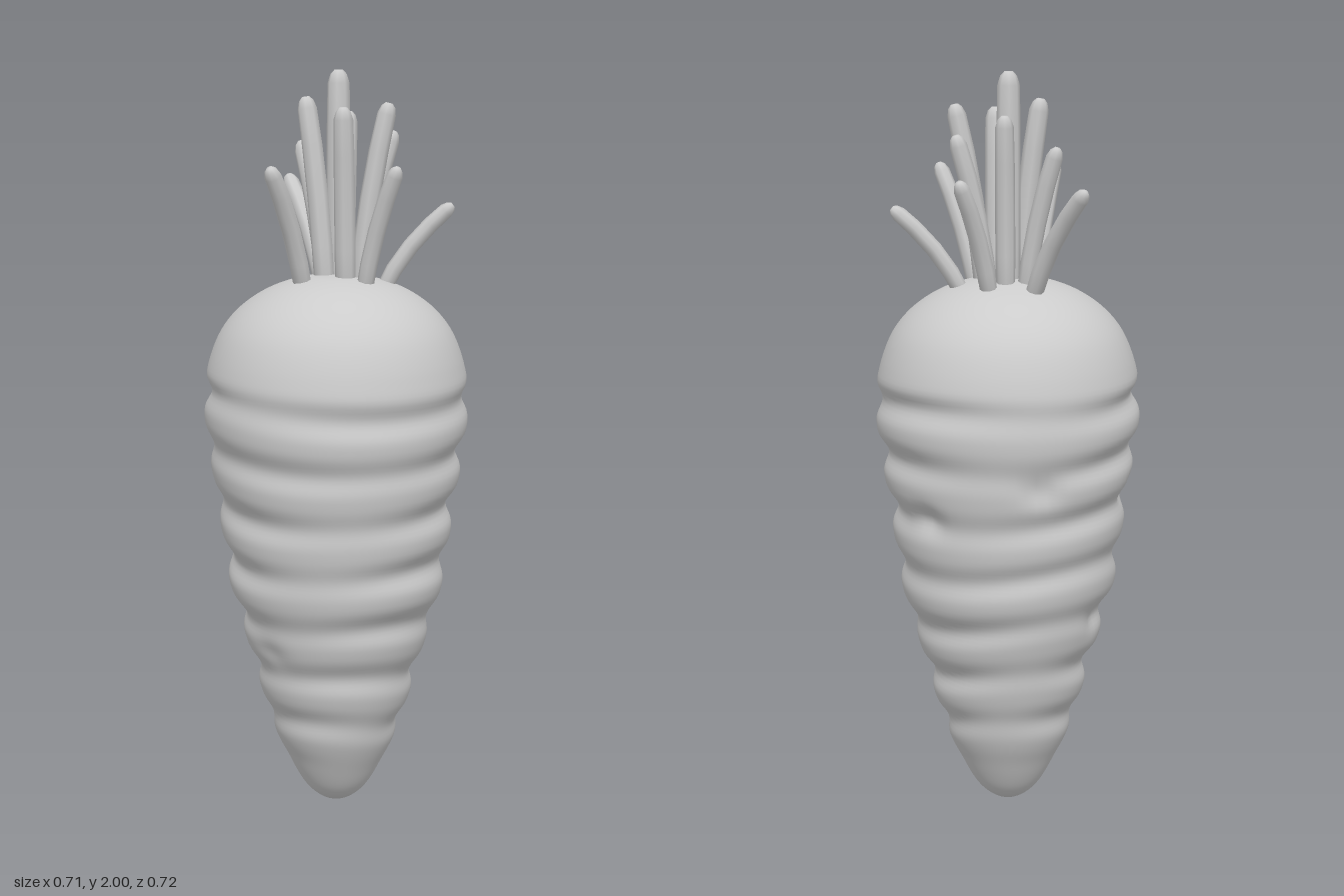
import * as THREE from 'three';
import { mergeVertices } from 'three/addons/utils/BufferGeometryUtils.js';

const material = new THREE.MeshStandardMaterial({ color: 0xcccccc, roughness: 0.8 });
const gauss = (d, w) => Math.exp(-(d * d) / (w * w));

// Weld seams so the normals run smoothly all the way round
function weld(geometry) {
  geometry.deleteAttribute('uv');
  geometry.deleteAttribute('normal');
  const welded = mergeVertices(geometry, 1e-5);
  welded.computeVertexNormals();
  return welded;
}

// Root outline as [radius, height], bottom to top
const ROOT = [
  [0, 0], [0.04, 0.012], [0.08, 0.045], [0.115, 0.1], [0.163, 0.2], [0.194, 0.3], [0.222, 0.4],
  [0.25, 0.5], [0.284, 0.62], [0.302, 0.74], [0.32, 0.87], [0.337, 0.98], [0.349, 1.08],
  [0.349, 1.18], [0.336, 1.25], [0.303, 1.325], [0.25, 1.385], [0.175, 1.432], [0.085, 1.46], [0, 1.466],
];

// Small dents as [angle, height, depth]
const DENTS = [[-1.78, 0.95, 0.016], [-2.65, 0.55, 0.014], [-2.98, 0.9, 0.018], [-0.79, 0.86, 0.018], [2.2, 0.47, 0.01]];

function createRoot() {
  const curve = new THREE.SplineCurve(ROOT.map(([r, y]) => new THREE.Vector2(r, y)));
  const profile = curve.getSpacedPoints(150);
  profile.forEach((p) => { p.x = Math.max(p.x, 0); });
  profile[0].x = profile[150].x = 0;
  const geometry = weld(new THREE.LatheGeometry(profile, 72));
  const pos = geometry.attributes.position;
  for (let i = 0; i < pos.count; i++) {
    const x = pos.getX(i), y = pos.getY(i), z = pos.getZ(i);
    const r = Math.hypot(x, z);
    if (r < 1e-4) continue;
    const a = Math.atan2(z, x);
    // Ring grooves that drift and change depth around the root
    const drift = 0.012 * Math.sin(a + 1) + 0.012 * Math.sin(2 * a + y * 5);
    const wave = 0.5 + 0.5 * Math.cos((2 * Math.PI * (y - 1.145 + drift)) / 0.147);
    const fade = THREE.MathUtils.smoothstep(y, 0.08, 0.35) * (1 - THREE.MathUtils.smoothstep(y, 1.16, 1.23));
    const depth = 0.011 + 0.011 * Math.cos(a) ** 2 + 0.004 * Math.sin(3 * a + y * 9);
    let offset = fade * (0.004 - depth * wave ** 1.6);
    for (const [da, dy, d] of DENTS) {
      const turn = Math.atan2(Math.sin(a - da), Math.cos(a - da));
      offset -= d * gauss(turn * r, 0.045) * gauss(y - dy, 0.035);
    }
    const s = (r + offset) / r;
    // Slightly deeper front to back than side to side
    pos.setXYZ(i, x * s, y, z * s * 1.02);
  }
  geometry.computeVertexNormals();
  const mesh = new THREE.Mesh(geometry, material);
  mesh.name = 'root';
  return mesh;
}

// Stems as [base x, base z, tip x, tip y, tip z, radius]
const STEMS = [
  [0.0, -0.03, 0.0, 2.0, -0.04, 0.032],
  [-0.03, 0.0, -0.085, 1.93, -0.02, 0.028],
  [0.03, 0.035, 0.03, 1.905, 0.075, 0.028],
  [0.06, 0.01, 0.14, 1.915, 0.0, 0.027],
  [0.01, -0.08, 0.015, 1.89, -0.125, 0.026],
  [0.05, -0.06, 0.14, 1.84, -0.1, 0.025],
  [-0.04, -0.07, -0.12, 1.81, -0.14, 0.024],
  [0.08, 0.055, 0.18, 1.755, 0.125, 0.023],
  [-0.075, 0.06, -0.14, 1.755, 0.2, 0.025],
  [0.05, -0.11, 0.135, 1.73, -0.21, 0.023],
  [-0.055, -0.12, -0.18, 1.71, -0.28, 0.024],
  [0.115, -0.03, 0.305, 1.65, -0.04, 0.022],
];

// Tapered, round-tipped rod bent along a curve that rises and then leans out
function createStem([bx, bz, tx, ty, tz, radius], index) {
  const baseY = 1.41;
  const curve = new THREE.QuadraticBezierCurve3(
    new THREE.Vector3(bx, baseY, bz),
    new THREE.Vector3(bx + (tx - bx) * 0.3, baseY + (ty - baseY) * 0.55, bz + (tz - bz) * 0.3),
    new THREE.Vector3(tx, ty, tz),
  );
  const tip = radius / curve.getLength();
  const profile = [[0, 0], [0.95, 0], [1, 0.25], [1, 0.5], [0.98, 0.75], [0.92, 1 - tip * 1.1], [0.68, 1 - tip * 0.35], [0.35, 1], [0, 1]]
    .map(([r, t]) => new THREE.Vector2(r * radius, t));
  const geometry = weld(new THREE.LatheGeometry(profile, 8));
  const pos = geometry.attributes.position;
  const up = new THREE.Vector3(0, 1, 0), turn = new THREE.Quaternion(), v = new THREE.Vector3();
  for (let i = 0; i < pos.count; i++) {
    const t = THREE.MathUtils.clamp(pos.getY(i), 0, 1);
    turn.setFromUnitVectors(up, curve.getTangentAt(t));
    v.set(pos.getX(i), 0, pos.getZ(i)).applyQuaternion(turn).add(curve.getPointAt(t));
    pos.setXYZ(i, v.x, v.y, v.z);
  }
  geometry.computeVertexNormals();
  const mesh = new THREE.Mesh(geometry, material);
  mesh.name = `stem${index + 1}`;
  return mesh;
}

export function createModel() {
  const model = new THREE.Group();
  model.name = 'carrot';
  const stems = new THREE.Group();
  stems.name = 'stems';
  STEMS.forEach((stem, i) => stems.add(createStem(stem, i)));
  model.add(createRoot(), stems);
  return model;
}
